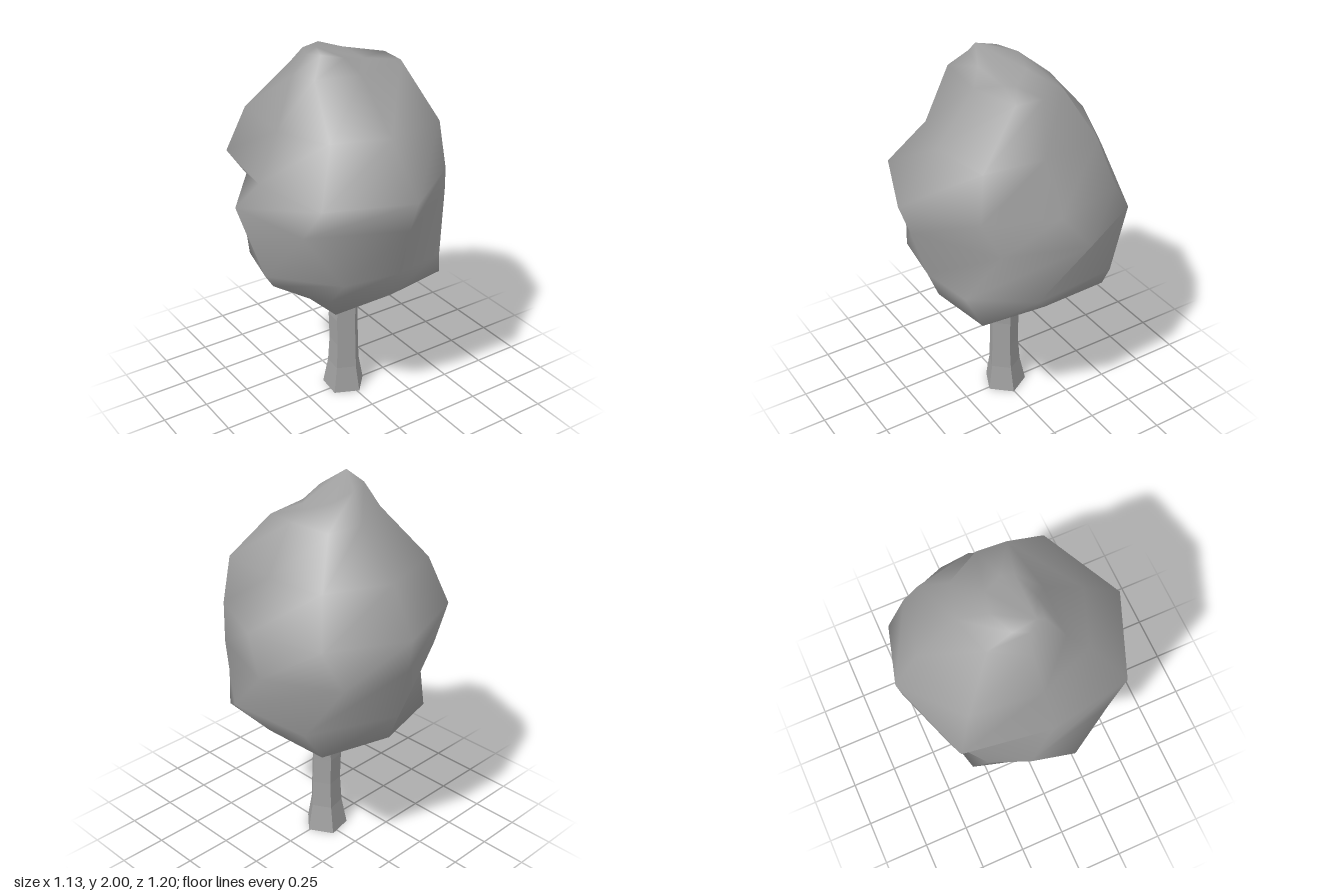
import * as THREE from 'three';

// Closed skin over rings of points, with a bottom and a top point.
function loft(rings, bottom, top) {
  const n = rings[0].length;
  const pos = [...rings.flat(2), ...bottom, ...top];
  const low = rings.length * n, high = low + 1;
  const index = [];
  for (let i = 0; i < n; i++) {
    const k = (i + 1) % n;
    index.push(low, i, k);
    for (let j = 0; j < rings.length - 1; j++) {
      const a = j * n + i, b = j * n + k;
      index.push(a, a + n, b, b, a + n, b + n);
    }
    index.push(high, low - n + k, low - n + i);
  }
  const geo = new THREE.BufferGeometry();
  geo.setAttribute('position', new THREE.Float32BufferAttribute(pos, 3));
  geo.setIndex(index);
  return geo;
}

// One ring: radii spaced evenly around a centre, turning from +x towards +z.
function ring(y, radii, cx = 0, cz = 0, start = 0) {
  return radii.map((r, i) => {
    const a = start + (i / radii.length) * Math.PI * 2;
    return [cx + r * Math.cos(a), y, cz + r * Math.sin(a)];
  });
}

export function createModel() {
  const group = new THREE.Group();
  const grey = new THREE.MeshStandardMaterial({ color: 0xa0a0a0 });
  grey.name = 'grey';

  // Lumpy crown: height, centre z, then radii at left, front-left, front, front-right, right, back-right, back, back-left
  const crownRings = [
    [0.62, 0, 0.18, 0.17, 0.18, 0.29, 0.23, 0.20, 0.10, 0.15],
    [0.77, 0, 0.38, 0.49, 0.40, 0.41, 0.45, 0.53, 0.47, 0.52],
    [0.92, 0.12, 0.50, 0.41, 0.34, 0.42, 0.56, 0.60, 0.65, 0.65],
    [1.19, -0.14, 0.56, 0.59, 0.68, 0.66, 0.57, 0.46, 0.44, 0.52],
    [1.36, 0, 0.50, 0.50, 0.60, 0.61, 0.51, 0.63, 0.60, 0.56],
    [1.61, 0, 0.36, 0.46, 0.38, 0.40, 0.40, 0.52, 0.47, 0.46],
  ].map(([y, cz, ...radii]) => ring(y, radii, 0, cz));
  // Uneven shoulder and tip of the crown
  crownRings.push(
    [[0.26, 1.87, -0.05], [0.25, 1.87, 0.1], [-0.02, 1.86, 0.16], [-0.28, 1.88, 0.15],
      [-0.3, 1.86, -0.02], [-0.2, 1.86, -0.2], [0, 1.85, -0.26], [0.18, 1.84, -0.22]],
    [[0.1, 1.88, 0], [0.08, 1.89, 0.06], [-0.08, 1.94, 0.1], [-0.2, 1.97, 0.08],
      [-0.23, 1.96, 0], [-0.2, 1.965, -0.08], [-0.08, 1.96, -0.13], [0.04, 1.92, -0.1]],
  );
  const crownGeo = loft(crownRings, [-0.02, 0.6, 0], [-0.2, 2, 0.04]);
  crownGeo.computeVertexNormals();
  const crown = new THREE.Mesh(crownGeo, grey);
  crown.name = 'crown';

  // Five-sided trunk, flared at the foot and slightly bent: height, radius, centre x, centre z
  const trunkRings = [
    [0, 0.118, -0.012, -0.008],
    [0.15, 0.09, -0.014, -0.004],
    [0.3, 0.083, -0.014, 0],
    [0.45, 0.083, -0.016, -0.004],
    [0.7, 0.077, 0, 0.005],
  ].map(([y, r, x, z]) => ring(y, Array(5).fill(r), x, z, THREE.MathUtils.degToRad(6)));
  const trunkGeo = loft(trunkRings, [0, 0, 0], [0, 0.7, 0]).toNonIndexed();
  trunkGeo.computeVertexNormals();
  const trunk = new THREE.Mesh(trunkGeo, grey);
  trunk.name = 'trunk';

  group.add(crown, trunk);
  return group;
}
